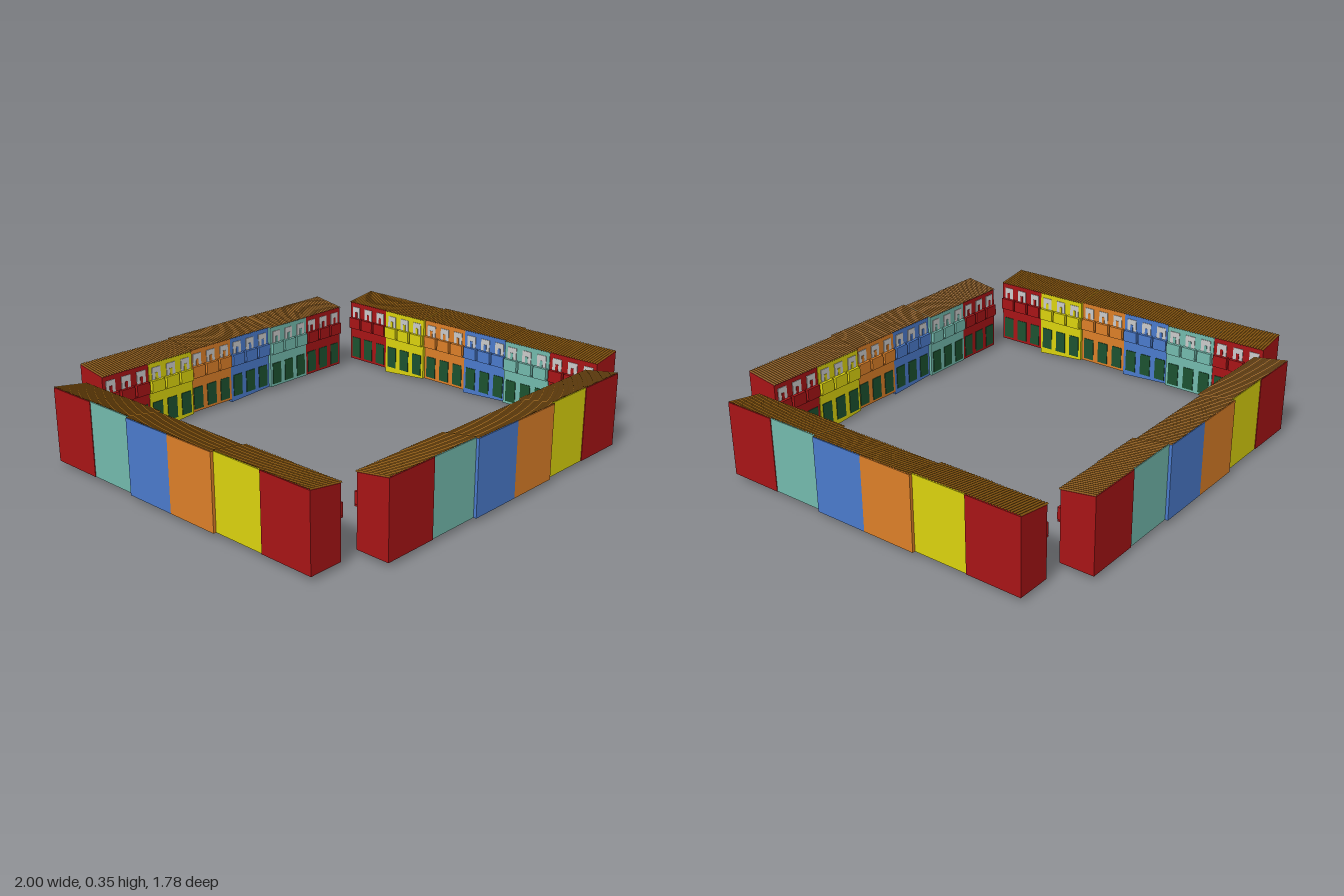
import * as THREE from 'three';

const mat = (color, extra = {}) => new THREE.MeshStandardMaterial({ color, flatShading: true, ...extra });
const RED = mat(0xa81416), TEAL = mat(0x74bbae), BLUE = mat(0x4b7bcd);
const ORANGE = mat(0xdd8028), YELLOW = mat(0xdcd40e);
const ROOF = mat(0x84540f, { side: THREE.DoubleSide }), GREEN = mat(0x1c5230), GREY = mat(0xcccccc);

const W = 0.245, DEPTH = 0.15, BASE = 0.02, BACK_TOP = 0.345, FRONT_TOP = 0.322;
const BAYS = 3, BAY = W / BAYS;

function add(parent, name, geometry, material, x = 0, y = 0, z = 0) {
  const mesh = new THREE.Mesh(geometry, material);
  mesh.name = name;
  mesh.position.set(x, y, z);
  parent.add(mesh);
  return mesh;
}

// Wall block: side profile (depth, height) swept across the width; one front corner may sink
function wallGeometry(dip) {
  const side = new THREE.Shape([
    new THREE.Vector2(0, BASE), new THREE.Vector2(DEPTH, BASE),
    new THREE.Vector2(DEPTH, FRONT_TOP), new THREE.Vector2(0, BACK_TOP),
  ]);
  const g = new THREE.ExtrudeGeometry(side, { depth: W, bevelEnabled: false });
  g.rotateY(-Math.PI / 2).translate(W / 2, 0, 0);
  const p = g.attributes.position;
  for (let i = 0; i < p.count; i++) {
    if (p.getX(i) < 0 && p.getY(i) < BASE + 0.001 && p.getZ(i) > DEPTH / 2) p.setY(i, BASE - dip);
  }
  g.computeVertexNormals();
  return g;
}

// Sloping roof with ribs running from back to front
function roofGeometry() {
  const ribs = 18, length = DEPTH + 0.008;
  const g = new THREE.PlaneGeometry(W, length, ribs * 4, 1);
  g.rotateX(-Math.PI / 2).translate(0, 0, length / 2);
  const p = g.attributes.position;
  for (let i = 0; i < p.count; i++) {
    const wave = Math.abs(Math.sin(((p.getX(i) + W / 2) / W) * ribs * Math.PI));
    const slope = (BACK_TOP - FRONT_TOP) * p.getZ(i) / DEPTH;
    p.setY(i, BACK_TOP + 0.001 - slope + 0.005 * wave);
  }
  g.computeVertexNormals();
  return g;
}

const shared = {
  roof: roofGeometry(),
  door: new THREE.BoxGeometry(0.054, 0.105, 0.004),
  window: new THREE.BoxGeometry(0.048, 0.11, 0.004),
  mullion: new THREE.BoxGeometry(0.014, 0.085, 0.006),
  balcony: new THREE.BoxGeometry(0.07, 0.05, 0.017),
  slab: new THREE.BoxGeometry(0.074, 0.007, 0.014),
};

// One house: back wall on z = 0, facade towards +z
function house(material, dip) {
  const g = new THREE.Group();
  g.name = 'house';
  add(g, 'walls', wallGeometry(dip), material);
  add(g, 'roof', shared.roof, ROOF);
  for (let i = 0; i < BAYS; i++) {
    const x = (i - (BAYS - 1) / 2) * BAY;
    add(g, 'door', shared.door, GREEN, x, 0.085, DEPTH + 0.001);
    add(g, 'window', shared.window, GREY, x, 0.245, DEPTH + 0.001);
    add(g, 'windowMullion', shared.mullion, material, x, 0.232, DEPTH + 0.002);
    add(g, 'balcony', shared.balcony, material, x, 0.218, DEPTH + 0.0085);
    add(g, 'balconySlab', shared.slab, material, x, 0.19, DEPTH + 0.007);
  }
  return g;
}

// Terrace of six houses: wall material, depth offset, sunk corner
const HOUSES = [
  [RED, 0, 0], [YELLOW, 0.003, 0.02], [ORANGE, -0.01, 0],
  [BLUE, -0.01, 0.014], [TEAL, 0.003, 0], [RED, 0, 0],
];

function terrace() {
  const g = new THREE.Group();
  HOUSES.forEach(([material, offset, dip], i) => {
    const h = house(material, dip);
    h.position.set((i - 2.5) * W, 0, offset);
    g.add(h);
  });
  return g;
}

export function createModel() {
  const model = new THREE.Group();
  model.name = 'courtyardTerraces';
  // Four terraces facing the open square
  const rows = [
    ['backTerrace', -0.009, -0.884, 0],
    ['frontTerrace', 0, 0.876, Math.PI],
    ['rightTerrace', -0.99, 0.013, Math.PI / 2],
    ['leftTerrace', 0.989, -0.024, -Math.PI / 2],
  ];
  for (const [name, x, z, turn] of rows) {
    const row = terrace();
    row.name = name;
    row.position.set(x, 0, z);
    row.rotation.y = turn;
    model.add(row);
  }
  return model;
}
